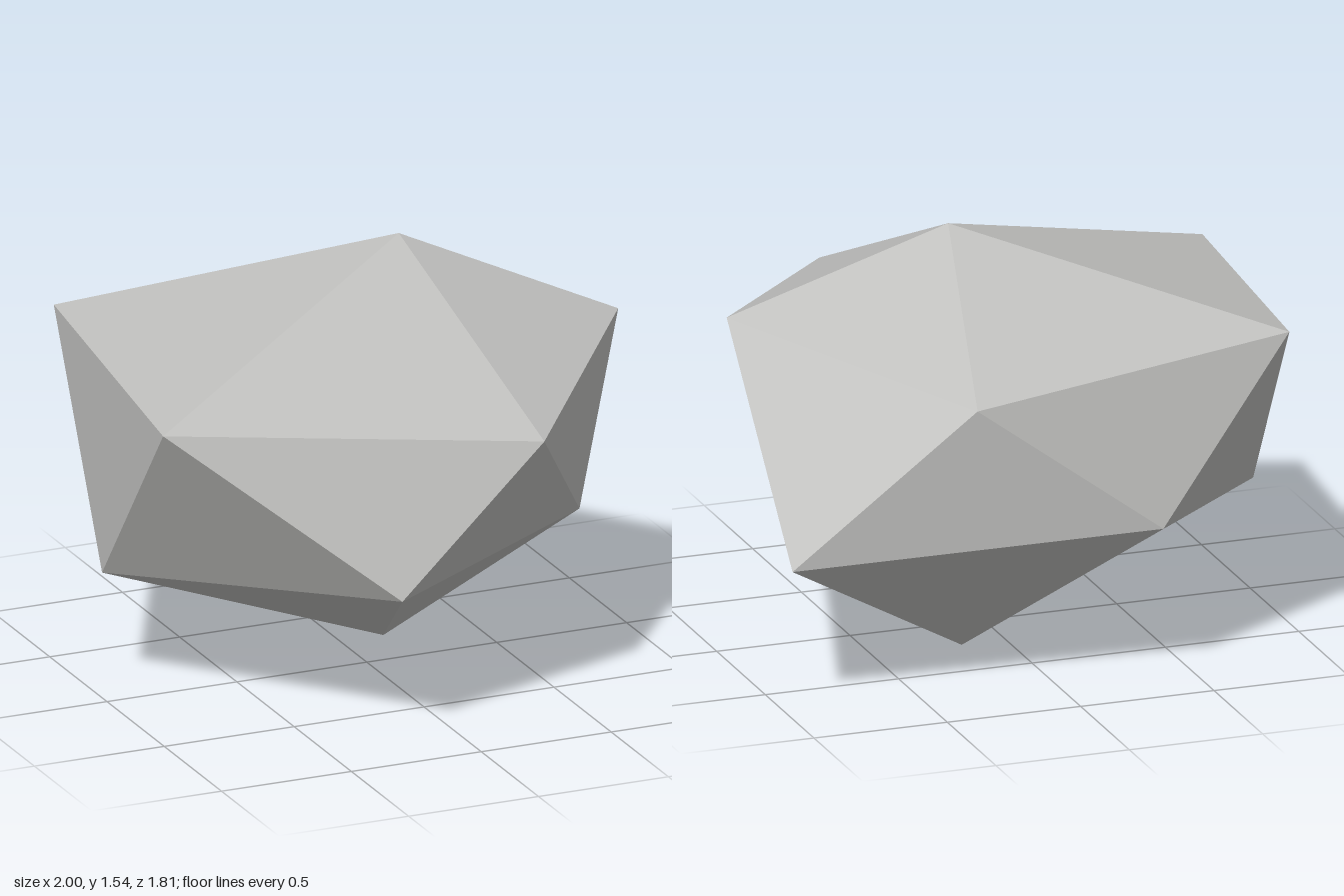
import * as THREE from 'three';

// Low-poly boulder: a skewed icosahedron made of a peak, two rings of five corners and a foot.
export function createModel() {
  const group = new THREE.Group();
  group.name = 'boulder';

  const stone = new THREE.MeshStandardMaterial({ color: 0xbdbdbb });
  stone.name = 'stone grey';
  stone.flatShading = true;

  const peak = [0.18, 1.54, -0.13];
  const foot = [0.165, 0, -0.23];
  // Both rings run anticlockwise seen from above, starting at the front left
  const upper = [
    [-1, 1.16, 0.49], [0.285, 1.09, 0.905], [0.937, 1.213, 0.07],
    [0.33, 1.087, -0.845], [-0.87, 1.215, -0.76],
  ];
  const lower = [
    [-0.255, 0.563, 0.89], [0.66, 0.6, 0.36], [1, 0.547, -0.78],
    [-0.345, 0.59, -0.905], [-0.975, 0.447, -0.1],
  ];

  // Cap, zigzag belt and underside
  const corners = [];
  for (let i = 0; i < 5; i++) {
    const j = (i + 1) % 5;
    corners.push(peak, upper[i], upper[j]);
    corners.push(upper[i], lower[i], upper[j]);
    corners.push(lower[i], lower[j], upper[j]);
    corners.push(foot, lower[j], lower[i]);
  }

  const geometry = new THREE.BufferGeometry();
  geometry.setAttribute('position', new THREE.Float32BufferAttribute(corners.flat(), 3));
  geometry.computeVertexNormals();

  const rock = new THREE.Mesh(geometry, stone);
  rock.name = 'rock';
  group.add(rock);
  return group;
}
